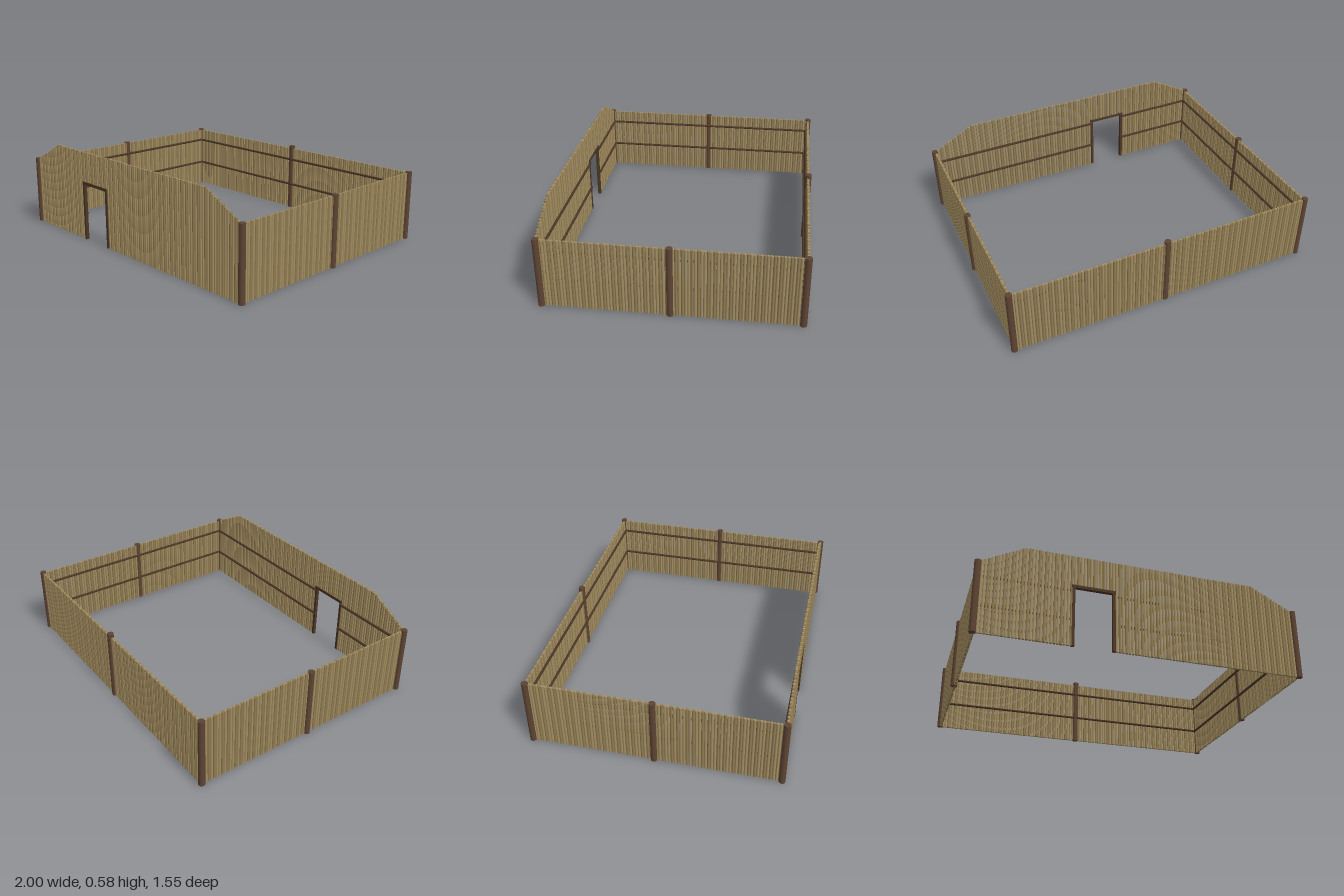
import * as THREE from 'three';
import { mergeGeometries } from 'three/addons/utils/BufferGeometryUtils.js';

export function createModel() {
  const model = new THREE.Group();
  const mat = (name, color) => new THREE.MeshStandardMaterial({ name, color });
  const cane = mat('cane', 0xa58f62);
  const darkCane = mat('dark cane', 0x927d52);
  const postWood = mat('post wood', 0x5e4433);
  const railWood = mat('rail wood', 0x4c3727);

  const X = 0.975, Z = 0.755;           // wall centre lines
  const DOOR_L = -0.43, DOOR_R = -0.19, DOOR_TOP = 0.375;
  const R = 0.0086;                     // cane radius

  const add = (name, geometry, material, parent = model) => {
    const mesh = new THREE.Mesh(geometry, material);
    mesh.name = name;
    parent.add(mesh);
    return mesh;
  };

  // A row of upright canes; span(t) gives [bottom, top] at position t along the wall
  function caneWall(name, from, to, pitch, place, span) {
    const wall = new THREE.Group();
    wall.name = name;
    const sets = [[], []];
    const count = Math.round((to - from) / pitch);
    for (let i = 0; i <= count; i++) {
      const t = from + (to - from) * i / count;
      const [low, high] = span(t);
      const [x, z] = place(t);
      const g = new THREE.CylinderGeometry(R, R, high - low, 8);
      g.translate(x, (low + high) / 2, z);
      sets[(i * 7) % 5 < 3 ? 0 : 1].push(g);
    }
    add(name + 'LightCanes', mergeGeometries(sets[0]), cane, wall);
    add(name + 'DarkCanes', mergeGeometries(sets[1]), darkCane, wall);
    model.add(wall);
  }

  // Front wall rises to a flat crest and leaves a doorway
  const crest = x => 0.58 - 0.13 * Math.max(0, Math.abs(x) - 0.71) / 0.25;
  caneWall('frontWall', -0.955, 0.955, 0.0191, t => [t, Z],
    t => [t > DOOR_L && t < DOOR_R ? DOOR_TOP : 0, crest(t)]);
  caneWall('backWall', -0.96, 0.96, 0.0181, t => [t, -Z], () => [0, 0.44]);
  for (const s of [-1, 1]) {
    caneWall(s > 0 ? 'leftWall' : 'rightWall', -0.74, 0.74, 0.0181,
      t => [s * X, t], () => [0, 0.44]);
  }

  // Round posts at the corners and the middle of the closed walls
  const post = (name, x, z, h) =>
    add(name, new THREE.CylinderGeometry(0.02, 0.02, h, 12), postWood).position.set(x, h / 2, z);
  for (const s of [-1, 1]) {
    post('frontCornerPost', s * 0.98, Z, 0.447);
    post('sidePost', s * 0.98, 0, 0.447);
    post('backCornerPost', s * 0.98, -Z, 0.447);
  }
  post('backPost', 0, -Z, 0.46);

  // Horizontal rails along the inner faces
  const RR = 0.008;
  function rail(name, along, from, to, y, offset) {
    const g = new THREE.CylinderGeometry(RR, RR, to - from, 8);
    const mid = (from + to) / 2;
    if (along === 'x') g.rotateZ(Math.PI / 2).translate(mid, y, offset);
    else g.rotateX(Math.PI / 2).translate(offset, y, mid);
    add(name, g, railWood);
  }
  for (const y of [0.175, 0.36]) {
    rail('frontRail', 'x', -0.97, DOOR_L, y, Z - 0.013);
    rail('frontRail', 'x', DOOR_R, 0.97, y, Z - 0.013);
    rail('backRail', 'x', -0.97, 0.97, y, -Z + 0.013);
    for (const s of [-1, 1]) rail('sideRail', 'z', -0.75, 0.75, y, s * (X - 0.012));
  }

  // Door frame
  for (const x of [DOOR_L, DOOR_R]) {
    add('doorJamb', new THREE.BoxGeometry(0.017, DOOR_TOP, 0.02), railWood)
      .position.set(x, DOOR_TOP / 2, Z);
  }
  add('doorLintel', new THREE.BoxGeometry(0.262, 0.018, 0.022), railWood)
    .position.set((DOOR_L + DOOR_R) / 2, DOOR_TOP + 0.003, Z);

  return model;
}
